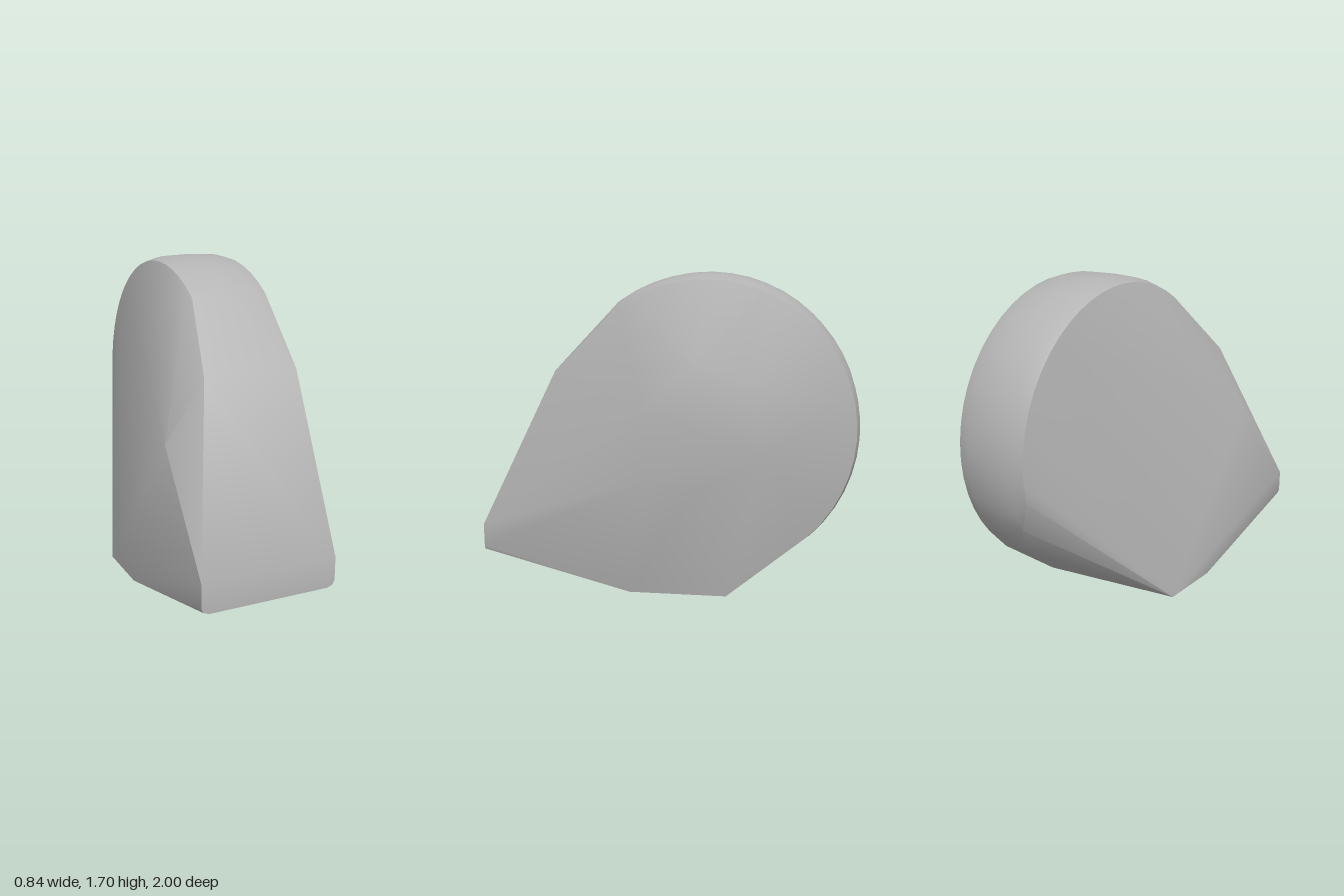
import * as THREE from 'three';
import { ConvexGeometry } from 'three/addons/geometries/ConvexGeometry.js';
import { toCreasedNormals } from 'three/addons/utils/BufferGeometryUtils.js';

export function createModel() {
  const grey = new THREE.MeshStandardMaterial({ color: 0xb4b4b4 });
  grey.name = 'stone grey';
  const points = [];
  const add = (x, y, z) => points.push(new THREE.Vector3(x, y, z));

  // Rounded back rim: an arc about (y 0.9, z -0.2), slightly softened at both edges
  const arc = (x, radius, from, to) => {
    const steps = Math.round((to - from) / 7);
    for (let i = 0; i <= steps; i++) {
      const a = THREE.MathUtils.degToRad(from + ((to - from) * i) / steps);
      add(x, 0.9 + radius * Math.sin(a), -0.2 + radius * Math.cos(a));
    }
  };
  arc(-0.11, 0.775, 55, 192);
  arc(-0.04, 0.795, 55, 205);
  arc(0.1, 0.8, 55, 220);
  arc(0.24, 0.795, 55, 225);
  arc(0.31, 0.775, 55, 225);

  // Sloping brow
  add(-0.2, 1.2, 0.58);
  add(0.31, 1.2, 0.58);

  // Blunt front toe with clipped lower corners
  for (const [x, y] of [[-0.41, 0.35], [0.31, 0.35], [0.31, 0.23], [0.3, 0.207],
    [0.27, 0.195], [-0.37, 0.195], [-0.4, 0.207], [-0.41, 0.23]]) add(x, y, 1);

  // Flat foot
  add(0.325, 0, -0.32);
  add(0.32, 0, 0.2);
  add(-0.42, 0, -0.18);
  add(-0.42, 0, 0.16);

  // Bulge of the narrow side (y, z)
  add(-0.39, 0.88, 0.54);

  // Raised facet of the wide side (y, z)
  for (const [y, z] of [[1.25, -0.15], [1.14, -0.45], [0.79, -0.52], [0.6, -0.15],
    [0.65, 0.1], [1.03, 0.1]]) add(0.42, y, z);

  const stone = new THREE.Mesh(toCreasedNormals(new ConvexGeometry(points), 0.5), grey);
  stone.name = 'stone';
  const group = new THREE.Group();
  group.name = 'roundedStone';
  group.add(stone);
  return group;
}
